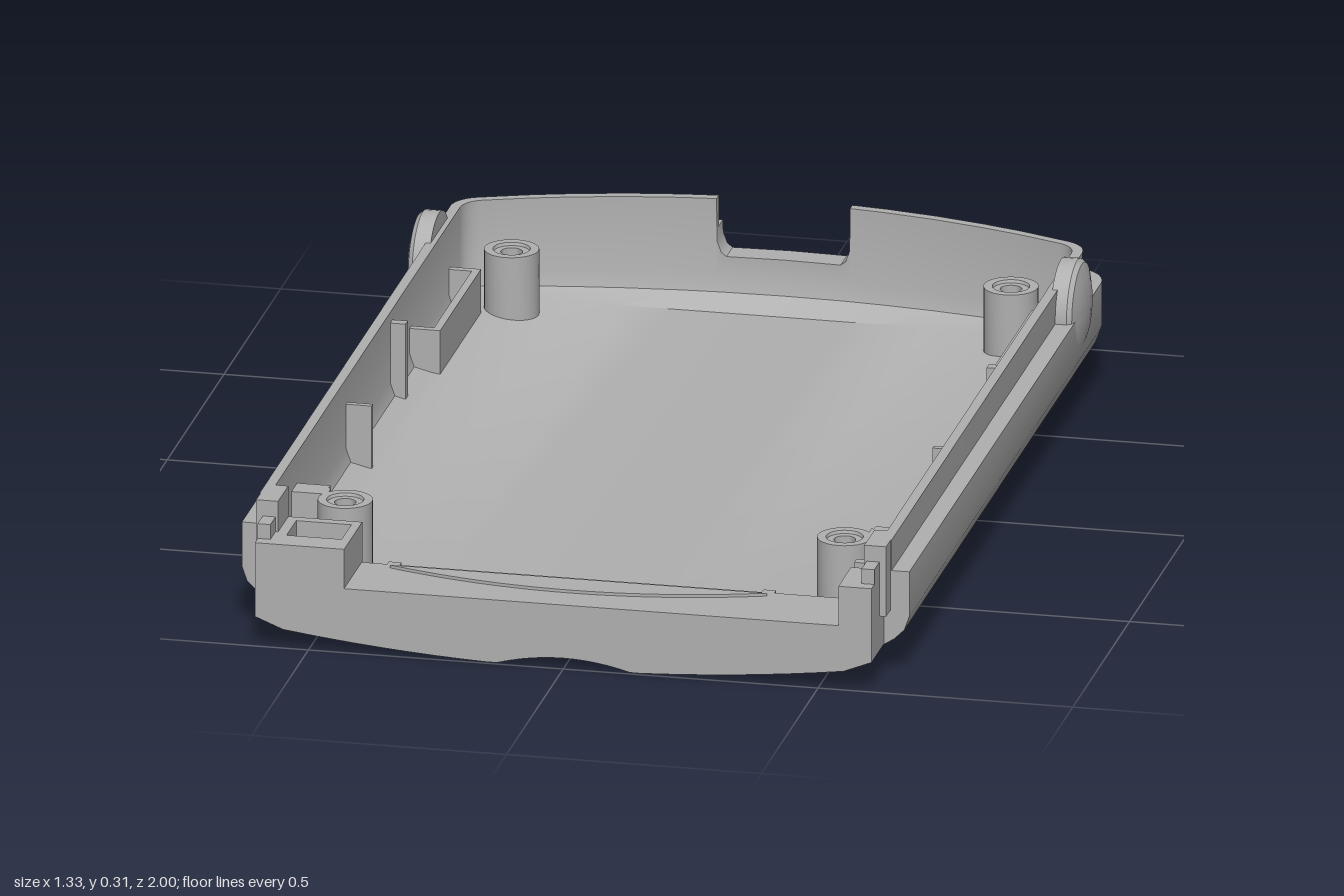
import * as THREE from 'three';
import { toCreasedNormals } from 'three/addons/utils/BufferGeometryUtils.js';

const W = 0.655;      // half width of the tray
const FRONT = 0.89;   // z where the full-width shell ends
const crown = (x) => 0.125 * x * x;

// wall profile from outer bottom to inner floor: inset, height, crown weight, grooved
const ROWS = [
  [0.1, 0, 1, 1], [0.065, 0.006, 1, 1], [0.03, 0.025, 0.95, 1], [0.01, 0.06, 0.6, 1],
  [0, 0.12, 0, 1], [0, 0.21, 0, 1], [0.035, 0.21, 0, 0], [0.035, 0.272, 0, 0],
  [0.055, 0.272, 0, 0], [0.055, 0.12, 0.2, 0], [0.064, 0.085, 0.4, 0], [0.1, 0.055, 1, 0],
];
const HALF_X = [0.488, 0.487, 0.473, 0.472, 0.4, 0.3, 0.2, 0.131, 0.13, 0.122, 0.112];
const ARC_X = [...HALF_X, 0, ...HALF_X.map((x) => -x).reverse()];

// one plan outline of the tray: right side, bowed back, left side
function ring([d, y, c, grooved]) {
  const w = W - d, r = Math.max(0.08 - d * 0.5, 0.02), end = 1.19;
  const arcZ = (x, inset) => -1 + inset + 0.35 * x * x;
  const xt = w - r + r * Math.cos(end);
  const zc = arcZ(xt, d) + r * Math.sin(end);
  const right = [[w, FRONT]];
  for (let i = 0; i <= 6; i++) {
    const a = (end * i) / 6;
    right.push([w - r + r * Math.cos(a), zc - r * Math.sin(a)]);
  }
  const lift = (x) => y + c * crown(x);
  const corner = right.map(([x, z]) => [x, lift(x), z]);
  const back = ARC_X.map((x) => {
    const ax = Math.abs(x);
    const cut = grooved && ax > 0.4725 && ax < 0.4875 ? 0.013 : 0;
    // notch in the back wall
    const top = ax > 0.1305 ? 1 : ax > 0.125 ? 0.185 : ax > 0.115 ? 0.163 : 0.155;
    return [x, Math.min(lift(x) + cut * c, top), arcZ(x, d + cut)];
  });
  return [...corner, ...back, ...corner.map(([x, yy, z]) => [-x, yy, z]).reverse()];
}

function shellGeometry() {
  const rings = ROWS.map(ring);
  const toFront = (r) => r.map(([x, y]) => [x, y, FRONT]);
  const all = [toFront(rings[0]), ...rings, toFront(rings[rings.length - 1])];
  const n = all[0].length, index = [];
  for (let j = 0; j < all.length - 1; j++) {
    for (let i = 0; i < n - 1; i++) {
      const a = j * n + i, d = a + n;
      index.push(a, a + 1, d + 1, a, d + 1, d);
    }
  }
  const g = new THREE.BufferGeometry();
  g.setAttribute('position', new THREE.Float32BufferAttribute(all.flat(2), 3));
  g.setIndex(index);
  return toCreasedNormals(g, 0.6);
}

const shapeOf = (pts) => new THREE.Shape(pts.map(([x, y]) => new THREE.Vector2(x, y)));

function extrudeZ(pts, z0, z1) {
  return new THREE.ExtrudeGeometry(shapeOf(pts), { depth: z1 - z0, bevelEnabled: false }).translate(0, 0, z0);
}

// plan shape (x, z) raised from y0 to y1
function extrudeY(pts, y0, y1, hole) {
  const flip = (p) => p.map(([x, z]) => [x, -z]);
  const s = shapeOf(flip(pts));
  if (hole) s.holes.push(shapeOf(flip(hole)));
  return new THREE.ExtrudeGeometry(s, { depth: y1 - y0, bevelEnabled: false })
    .rotateX(-Math.PI / 2).translate(0, y0, 0);
}

const rect = (x0, x1, z0, z1) => [[x0, z0], [x1, z0], [x1, z1], [x0, z1]];

export function createModel() {
  const group = new THREE.Group();
  group.name = 'enclosureTray';
  const grey = new THREE.MeshStandardMaterial({ color: 0xb0b0b0, side: THREE.DoubleSide });
  grey.name = 'greyPlastic';

  const add = (name, geometry) => {
    const m = new THREE.Mesh(geometry, grey);
    m.name = name;
    group.add(m);
    return m;
  };
  const box = (name, x0, x1, y0, y1, z0, z1) => add(name,
    new THREE.BoxGeometry(x1 - x0, y1 - y0, z1 - z0).translate((x0 + x1) / 2, (y0 + y1) / 2, (z0 + z1) / 2));

  add('shell', shellGeometry());

  // full-width frame closing the front end of the shell
  const outer = ROWS.slice(0, 6).map(([d, y, c]) => [W - d, y + c * crown(W - d)]);
  const bottom = [];
  for (let i = -10; i <= 10; i++) bottom.push([i * 0.05, crown(i * 0.05)]);
  const left = outer.map(([x, y]) => [-x, y]).reverse();
  add('frontFrame', extrudeZ([
    ...left, ...bottom, ...outer,
    [0.62, 0.21], [0.62, 0.272], [0.6, 0.272], [0.6, 0.13],
    [-0.6, 0.13], [-0.6, 0.272], [-0.62, 0.272], [-0.62, 0.21],
  ], 0.845, FRONT));

  // narrower front sill with a finger recess underneath
  const sill = [[-0.605, 0.06]];
  for (let i = -11; i <= 11; i++) {
    const x = i * 0.05;
    if (Math.abs(x) > 0.14) sill.push([x, crown(x)]);
    else if (i === -2) {
      for (let k = -6; k <= 6; k++) sill.push([k * 0.0217, 0.003 + 0.019 * (1 - (k / 6) ** 2)]);
    }
  }
  sill.push([0.605, 0.06], [0.605, 0.21], [0.54, 0.21], [0.54, 0.13], [-0.605, 0.13]);
  add('frontSill', extrudeZ(sill, FRONT - 0.002, 1));

  // bowed low plate on the sill
  const bow = [];
  for (let i = -10; i <= 10; i++) bow.push([i * 0.037, 0.93 - 0.065 * (i / 10) ** 2]);
  add('sillPlate', extrudeY(bow, 0.128, 0.136));

  // pocket in the front left-hand corner of the plan
  add('cornerPocket', extrudeY(rect(-0.605, -0.43, 0.84, 1), 0.12, 0.21, rect(-0.555, -0.447, 0.86, 0.945)));

  for (const s of [-1, 1]) {
    const side = s < 0 ? 'right' : 'left';
    const mirrorBox = (name, x0, x1, ...rest) =>
      box(side + name, Math.min(s * x0, s * x1), Math.max(s * x0, s * x1), ...rest);

    // domed side button
    const dome = [[0, 0], [0.095, 0], [0.095, 0.032], [0.088, 0.041], [0.06, 0.049], [0.03, 0.053], [0, 0.054]];
    const button = add(side + 'Button', toCreasedNormals(
      new THREE.LatheGeometry(dome.map(([r, y]) => new THREE.Vector2(r, y)), 40), 0.6));
    button.rotation.z = -s * Math.PI / 2;
    button.position.set(s * 0.61, 0.213, -0.645);

    // screw bosses
    for (const z of [-0.745, 0.72]) {
      const tube = [[0.053, 0.05], [0.053, 0.21], [0.036, 0.21], [0.034, 0.204], [0.021, 0.204], [0.021, 0.07], [0, 0.07]];
      const boss = add(side + 'ScrewBoss', toCreasedNormals(
        new THREE.LatheGeometry(tube.map(([r, y]) => new THREE.Vector2(r, y)), 28), 0.6));
      boss.position.set(s * 0.49, 0, z);
    }

    // webs tying the front bosses to the side wall
    mirrorBox('BossWeb', 0.535, 0.605, 0.06, 0.21, 0.65, 0.665);
    mirrorBox('BossBracket', 0.53, 0.605, 0.06, 0.21, 0.665, 0.7);

    // low rail with end walls beside the buttons
    mirrorBox('Rail', 0.54, 0.555, 0.07, 0.18, -0.69, -0.34);
    mirrorBox('RailFrontEnd', 0.54, 0.605, 0.07, 0.18, -0.355, -0.34);
    mirrorBox('RailBackEnd', 0.54, 0.605, 0.07, 0.18, -0.7, -0.685);

    // ribs on the inner wall
    mirrorBox('WallClip', 0.57, 0.605, 0.09, 0.25, -0.19, -0.17);
    mirrorBox('WallRib', 0.55, 0.605, 0.08, 0.22, 0.206, 0.218);

    // corner posts and steps at the front
    mirrorBox('FrontPost', 0.575, 0.618, 0.13, 0.272, 0.84, 0.93);
    mirrorBox('FrontPostStep', 0.58, 0.605, 0.13, 0.24, 0.93, 0.975);
    mirrorBox('FrontCornerWall', 0.54, 0.605, 0.1, 0.21, 0.84, 0.86);

    // small nub on the inner edge of the sill
    mirrorBox('SillNub', 0.355, 0.38, 0.07, 0.13, 0.83, 0.846);
  }
  return group;
}
